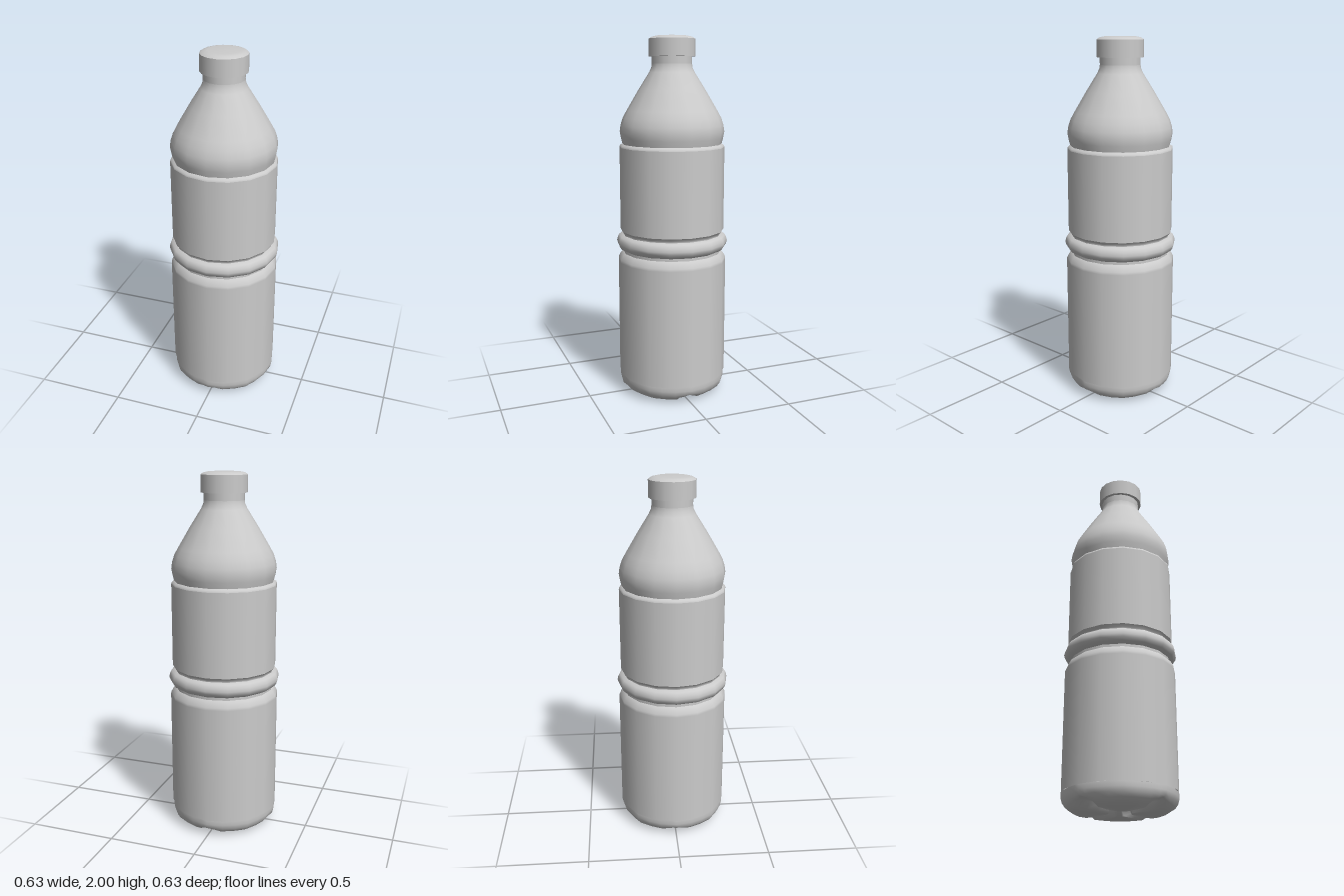
import * as THREE from 'three';
import { mergeVertices } from 'three/addons/utils/BufferGeometryUtils.js';

const SIDES = 16;
const material = new THREE.MeshStandardMaterial({ color: 0xcccccc, side: THREE.DoubleSide });

// Each profile is a list of [radius, height], running upwards.
const toPoints = (profile) => profile.map(([r, y]) => new THREE.Vector2(r, y));

function turned(name, profile) {
  const mesh = new THREE.Mesh(new THREE.LatheGeometry(toPoints(profile), SIDES), material);
  mesh.name = name;
  return mesh;
}

// Four-footed base: a turned cup whose spokes are gathered along two crossing grooves.
function makeBase() {
  // radius, height of foot, half width of groove floor, half width of groove mouth
  const rings = [
    [0, 0.045, 0, 0],
    [0.045, 0.045, 0.016, 0.026],
    [0.065, 0.0, 0.016, 0.027],
    [0.14, 0.0, 0.016, 0.028],
    [0.21, 0.0, 0.018, 0.04],
    [0.25, 0.008, 0.022, 0.06],
    [0.282, 0.028, 0.03, 0.08],
    [0.298, 0.05, 0.035, 0.09],
    [0.305, 0.075, 0.035, 0.09],
    [0.305, 0.1, 0.035, 0.09],
  ];
  const perQuarter = 8;
  const geometry = new THREE.LatheGeometry(toPoints(rings), perQuarter * 4);
  const pos = geometry.attributes.position;
  const step = Math.PI / 8;
  for (let i = 0; i < pos.count; i++) {
    const [r, y, floor, mouth] = rings[i % rings.length];
    if (r === 0) continue;
    const spoke = Math.floor(i / rings.length);
    const axis = Math.round(spoke / perQuarter);
    const k = spoke - axis * perQuarter; // -4..4 away from the groove
    const aMouth = Math.asin(mouth / r);
    const away = [0, Math.asin(floor / r), aMouth,
      Math.max(step, (aMouth + Math.PI / 4) / 2), Math.PI / 4][Math.abs(k)];
    const angle = axis * Math.PI / 2 + Math.sign(k) * away;
    // keep to the sixteen-sided outline
    const within = away - Math.floor(away / step + 1e-6) * step;
    const radius = r * Math.cos(step / 2) / Math.cos(within - step / 2);
    const lift = [0.045, 0.036, 0, 0, 0][Math.abs(k)];
    pos.setXYZ(i, radius * Math.sin(angle), Math.max(y, lift), radius * Math.cos(angle));
  }
  geometry.deleteAttribute('normal');
  geometry.deleteAttribute('uv');
  const welded = mergeVertices(geometry, 1e-5);
  welded.computeVertexNormals();
  const mesh = new THREE.Mesh(welded, material);
  mesh.name = 'footedBase';
  return mesh;
}

export function createModel() {
  const bottle = new THREE.Group();
  bottle.name = 'bottle';
  bottle.add(
    makeBase(),
    turned('lowerBody', [[0.305, 0.1], [0.305, 0.76], [0.304, 0.775], [0.29, 0.8], [0.277, 0.81]]),
    // Grip ring with a narrow waist above and below
    turned('lowerWaist', [[0.277, 0.81], [0.277, 0.825]]),
    turned('gripRing', [[0.277, 0.825], [0.298, 0.836], [0.309, 0.853], [0.313, 0.868],
      [0.309, 0.886], [0.3, 0.904], [0.278, 0.912]]),
    turned('upperWaist', [[0.278, 0.912], [0.278, 0.922], [0.292, 0.936]]),
    turned('upperBody', [[0.292, 0.936], [0.292, 1.4]]),
    turned('bodyLip', [[0.292, 1.4], [0.289, 1.41], [0.276, 1.418]]),
    // Shoulder tapering into the neck
    turned('shoulder', [[0.276, 1.418], [0.284, 1.45], [0.29, 1.485], [0.285, 1.52],
      [0.272, 1.56], [0.25, 1.6], [0.185, 1.71], [0.125, 1.805], [0.113, 1.83], [0.11, 1.85]]),
    turned('neck', [[0.11, 1.85], [0.11, 1.89]]),
    // Screw cap
    turned('capUnderside', [[0.1, 1.89], [0.127, 1.89]]),
    turned('capSide', [[0.127, 1.89], [0.127, 1.983]]),
    turned('capTop', [[0.127, 1.983], [0.112, 1.993], [0.085, 1.999], [0, 2]]),
  );
  return bottle;
}
